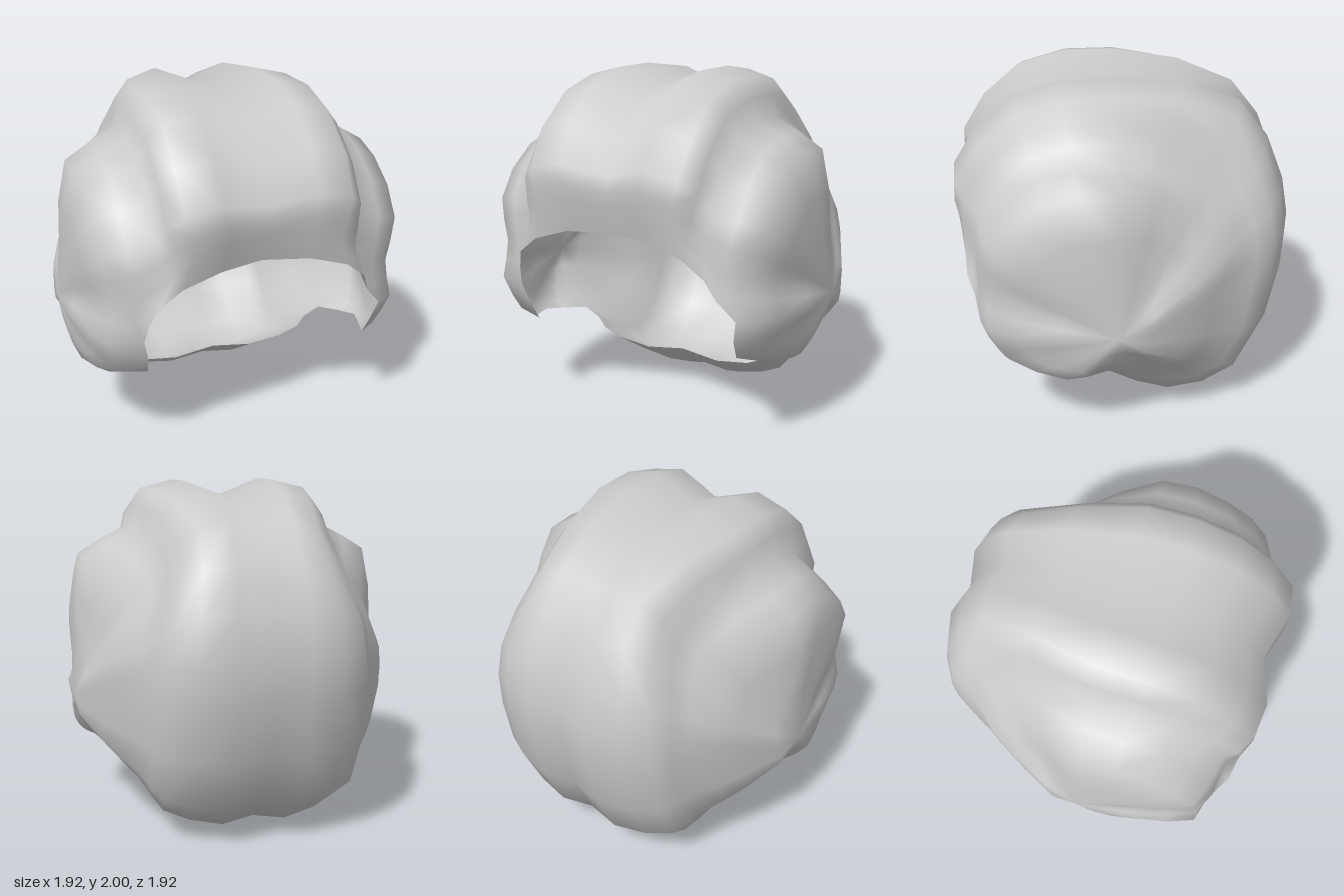
import * as THREE from 'three';
import { mergeVertices } from 'three/addons/utils/BufferGeometryUtils.js';

const { lerp, degToRad } = THREE.MathUtils;

// Hub of the fan of cross-sections, at the side of the head
const HUB_X = 0.96, HUB_Y = 0.75, HUB_Z = 0.05;
const COLS = 9;     // columns from the middle groove to the hub
const EDGE_COL = 5; // column where the cheek flap begins
const STEPS = 2;    // subdivisions between sections

// Lobed profile: middle groove, centre lock, valley, side lock, hub
const LOBE_X = [0, .27, .47, .55, .58, .73, .87, .92, .93, HUB_X];
const LOBE_R = [.92, 1, .96, .88, .78, .72, .65, .46, .25, 0];
// Back profile: broad flat back, then straight tapering sides
const BACK_X = [0, .2, .4, .55, .61, .66, .74, .82, .94, HUB_X];
const BACK_R = [.96, 1, .95, .87, .76, .65, .53, .4, .17, 0];

// Point at a half-width, radius from the hub and angle.
// Angles run from the front (0) over the top (90) and back (180) to the nape.
function fanPoint(x, r, deg) {
  const a = degToRad(deg);
  return new THREE.Vector3(x, HUB_Y + r * Math.sin(a), HUB_Z + r * Math.cos(a));
}

// Section from the middle to the hub, blending the lobed profile into the back profile
function crownSection({ mid, side = mid, r, back = 0, full = 1, width = 1 }) {
  return LOBE_X.map((lobeX, j) => {
    const s = (j / COLS) ** 2;
    const x = lerp(lobeX, BACK_X[j], back) * lerp(width, 1, s);
    const radius = r * lerp(LOBE_R[j], BACK_R[j], back) * lerp(1, full, s);
    return fanPoint(x, radius, lerp(mid, side, Math.min(1, j / EDGE_COL) ** 1.6));
  });
}

const crown = [
  { mid: 26, side: 0, r: .92, back: .5, full: 1.7, width: 1.1 },    // forehead edge
  { mid: 33, side: 18, r: 1.04, back: .25, full: 1.35, width: .93 }, // groove over the cheek
  { mid: 40, side: 35, r: 1.18, full: 1.15 },                       // quiff
  { mid: 64, side: 62, r: 1.285, full: 1.05 },
  { mid: 90, r: 1.24 },                                             // top
  { mid: 123, r: 1.28, back: .6, width: .75 },
  { mid: 148, r: 1.14, back: .8, full: 1.1, width: .95 },           // back
  { mid: 172, r: 1.01, back: 1 },
  { mid: 214, r: .94, back: 1, full: 1.1 },
  { mid: 245, r: .84, back: 1, full: .85, width: .9 },              // nape
  { mid: 276, side: 283, r: .54, back: .5, full: .85, width: 1.05 },
].map(crownSection);

// Quarter-ellipse section of the cheek flap, from its free edge to the hub
function cheekSection(deg, edgeX, edgeR) {
  const count = COLS - EDGE_COL;
  return Array.from({ length: count + 1 }, (_, k) => {
    const t = (k / count) * (Math.PI / 2);
    return fanPoint(lerp(edgeX, HUB_X, Math.sin(t)), edgeR * Math.cos(t), deg);
  });
}

// The flap closes the side between the nape and the forehead edge
const cheek = [
  crown[crown.length - 1].slice(EDGE_COL),
  cheekSection(314, .86, .44),
  cheekSection(341, .7, .71),
  crown[0].slice(EDGE_COL),
];

// Smooth each column through its sections, then stitch the grid into triangles
function addPatch(positions, sections, side) {
  const segs = (sections.length - 1) * STEPS;
  const cols = sections[0].map((_, j) => {
    const curve = new THREE.CatmullRomCurve3(sections.map((s) => s[j]));
    return Array.from({ length: segs + 1 }, (_, i) => {
      const p = curve.getPoint(i / segs);
      // the right cheek tip tucks further in
      if (side < 0 && p.z > 0.68 && p.y < 0.8 && p.x < 0.8) p.x -= 0.08;
      return [p.x * side, p.y, p.z];
    });
  });
  for (let j = 0; j < cols.length - 1; j++) {
    for (let i = 0; i < segs; i++) {
      const a = cols[j][i], b = cols[j + 1][i], c = cols[j + 1][i + 1], d = cols[j][i + 1];
      const tris = [[a, c, d]];
      if (j < cols.length - 2) tris.push([a, b, c]); // the last column closes on the hub
      for (const [p, q, r] of tris) positions.push(...p, ...(side > 0 ? q : r), ...(side > 0 ? r : q));
    }
  }
}

export function createModel() {
  const positions = [];
  for (const side of [1, -1]) {
    addPatch(positions, crown, side);
    addPatch(positions, cheek, side);
  }
  let geometry = new THREE.BufferGeometry();
  geometry.setAttribute('position', new THREE.Float32BufferAttribute(positions, 3));
  geometry = mergeVertices(geometry, 1e-4);
  geometry.computeVertexNormals();

  const hair = new THREE.Mesh(geometry, new THREE.MeshStandardMaterial({ color: 0xcccccc, side: THREE.DoubleSide }));
  hair.name = 'hairShell';
  const group = new THREE.Group();
  group.name = 'hair';
  group.add(hair);
  return group;
}
